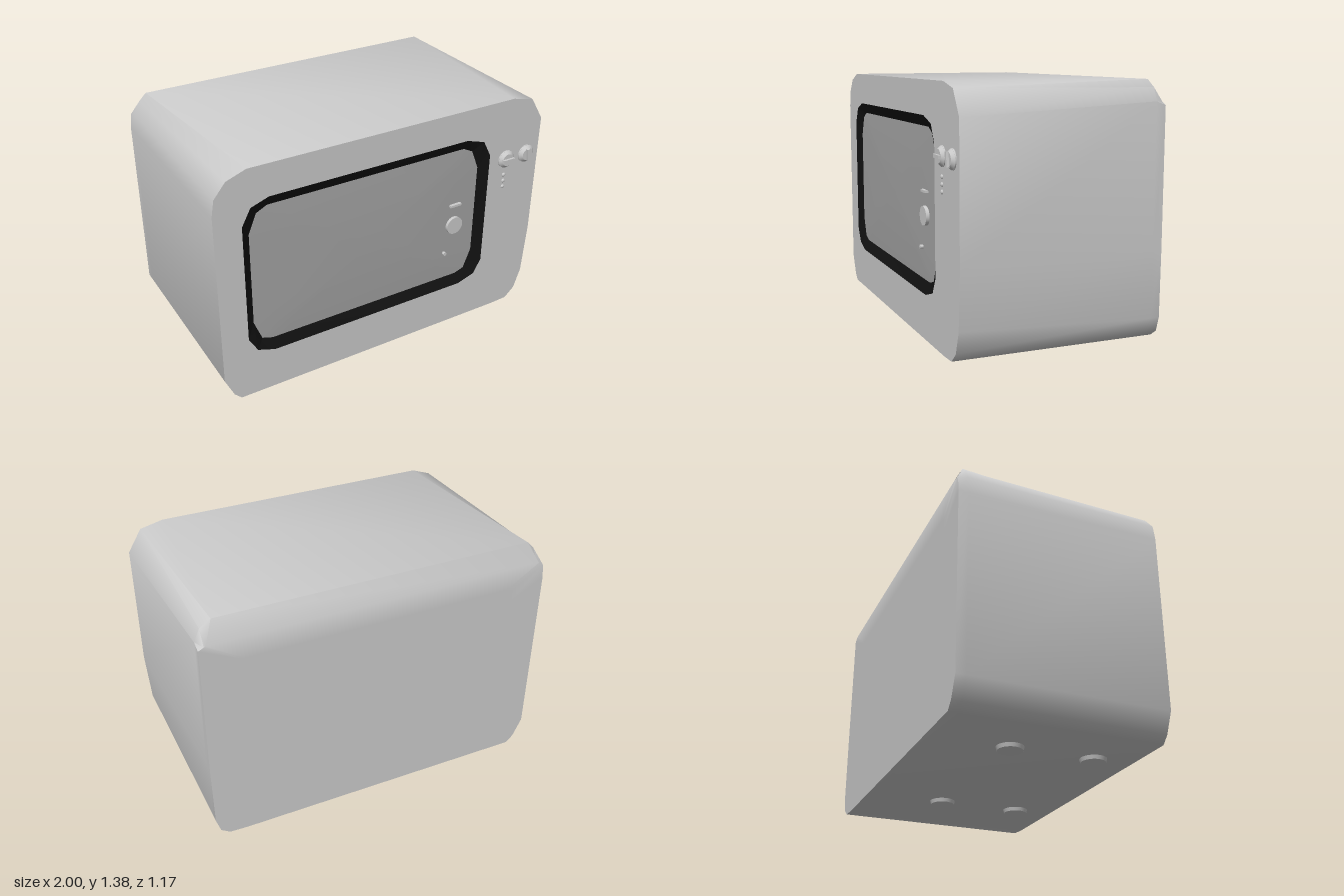
import * as THREE from 'three';
import { toCreasedNormals } from 'three/addons/utils/BufferGeometryUtils.js';

const FRONT = 0.55, BACK = -0.583, SCREEN = 0.522;

const grey = new THREE.MeshStandardMaterial({ color: 0xcccccc });
const black = new THREE.MeshStandardMaterial({ color: 0x111111 });
const dark = new THREE.MeshStandardMaterial({ color: 0xa4a4a4 });

// Outlines run anticlockwise as seen from the front
const bodyFront = [
  [-0.91, 0.02], [0.77, 0.02], [0.88, 0.025], [0.94, 0.08], [0.98, 0.2], [1, 0.5], [1, 1.22],
  [0.92, 1.35], [0.79, 1.38], [-0.81, 1.38], [-0.92, 1.34], [-0.985, 1.26], [-1, 1.17],
  [-1, 0.17], [-0.95, 0.06],
];
const bodyRear = [
  [-0.91, 0.02], [0.77, 0.02], [0.88, 0.025], [0.93, 0.06], [0.955, 0.14], [0.96, 0.5], [0.96, 1.27],
  [0.93, 1.34], [0.87, 1.38], [-0.91, 1.38], [-0.95, 1.34], [-0.99, 1.27], [-1, 1.17],
  [-1, 0.17], [-0.95, 0.06],
];
const rimOuter = [
  [-0.70, 0.265], [0.50, 0.265], [0.61, 0.30], [0.655, 0.385], [0.655, 1.07], [0.605, 1.165],
  [0.49, 1.20], [-0.70, 1.20], [-0.80, 1.165], [-0.85, 1.07], [-0.85, 0.385], [-0.80, 0.30],
];
const rimInner = [
  [-0.70, 0.325], [0.49, 0.325], [0.55, 0.345], [0.595, 0.46], [0.595, 1.0], [0.55, 1.11],
  [0.49, 1.14], [-0.70, 1.14], [-0.76, 1.11], [-0.805, 1.0], [-0.805, 0.46], [-0.76, 0.345],
];

const ring = (outline, z) => outline.map(([x, y]) => [x, y, z]);
const shrink = (outline, k, cx, cy) => outline.map(([x, y]) => [cx + (x - cx) * k, cy + (y - cy) * k]);

// Skin of quads through a list of equal-length rings
function loft(rings, crease) {
  const pos = [];
  const n = rings[0].length;
  const same = (p, q) => p.every((v, i) => Math.abs(v - q[i]) < 1e-6);
  const tri = (a, b, c) => {
    if (!same(a, b) && !same(b, c) && !same(a, c)) pos.push(...a, ...b, ...c);
  };
  for (let r = 0; r < rings.length - 1; r++) {
    for (let i = 0; i < n; i++) {
      const j = (i + 1) % n;
      const [a, b] = [rings[r], rings[r + 1]];
      tri(a[i], b[i], b[j]);
      tri(a[i], b[j], a[j]);
    }
  }
  const g = new THREE.BufferGeometry();
  g.setAttribute('position', new THREE.Float32BufferAttribute(pos, 3));
  return toCreasedNormals(g, crease);
}

function add(parent, name, geometry, material = grey, x = 0, y = 0, z = 0) {
  const mesh = new THREE.Mesh(geometry, material);
  mesh.name = name;
  mesh.position.set(x, y, z);
  parent.add(mesh);
  return mesh;
}

// Cylinder lying along z, its base at z = 0
const disc = (rFront, rBase, depth, sides = 24) =>
  new THREE.CylinderGeometry(rFront, rBase, depth, sides).rotateX(Math.PI / 2).translate(0, 0, depth / 2);

function makeKnob(turn) {
  const knob = new THREE.Group();
  knob.name = 'knob';
  add(knob, 'knobBase', disc(0.053, 0.053, 0.006));
  add(knob, 'knobCone', disc(0.036, 0.052, 0.016), grey, 0, 0, 0.006);
  const grip = add(knob, 'knobGrip', new THREE.BoxGeometry(0.075, 0.018, 0.02), grey, 0, 0, 0.025);
  grip.rotation.z = turn;
  return knob;
}

export function createModel() {
  const model = new THREE.Group();
  model.name = 'appliance';

  // Casing: narrows on one side to the rear, with a slope along the upper back edge
  const backEdge = bodyRear.map(([x, y], i) =>
    i === 8 ? [0.92, 1.27] : i === 9 ? [-0.96, 1.27] : [x, Math.min(y, i === 6 || i === 11 ? 1.25 : 1.265)]);
  add(model, 'casing', loft([
    ring(bodyFront, FRONT),
    ring(bodyRear, -0.53),
    ring(backEdge, BACK),
    ring(shrink(backEdge, 0.8, -0.02, 0.65), BACK),
    ring(shrink(backEdge, 0, -0.02, 0.65), BACK),
  ], 0.9));

  // Front panel with the window opening
  const toPoints = (o) => o.map(([x, y]) => new THREE.Vector2(x, y));
  const panel = new THREE.Shape(toPoints(bodyFront));
  panel.holes.push(new THREE.Path(toPoints(rimOuter)));
  add(model, 'frontPanel', new THREE.ShapeGeometry(panel), grey, 0, 0, FRONT);

  // Sloping black rim and gently bulging window
  add(model, 'windowRim', loft([ring(rimInner, SCREEN), ring(rimOuter, FRONT)], 0.3), black);
  const bulge = [0, 0.3, 0.6, 0.85, 1].map((k) =>
    ring(shrink(rimInner, k, -0.105, 0.7325), SCREEN + 0.012 * (1 - k * k)));
  add(model, 'window', loft(bulge, 0.9), dark);

  // Small fittings on the window
  add(model, 'windowButton', disc(0.052, 0.052, 0.022, 32), grey, 0.45, 0.675, SCREEN);
  add(model, 'windowBar', new THREE.BoxGeometry(0.072, 0.013, 0.024), grey, 0.45, 0.805, SCREEN + 0.01);
  add(model, 'windowStud', disc(0.011, 0.011, 0.022, 12), grey, 0.395, 0.5, SCREEN);

  // Control knobs and the column of buttons below them
  for (const [x, turn] of [[0.77, 0], [0.912, Math.PI / 2 + 0.15]]) {
    const knob = makeKnob(turn);
    knob.position.set(x, 1.02, FRONT);
    model.add(knob);
  }
  for (const y of [0.92, 0.882, 0.845]) {
    const button = add(model, 'button', new THREE.SphereGeometry(0.012, 12, 8), grey, 0.766, y, FRONT);
    button.scale.z = 0.7;
  }

  // Feet
  for (const x of [-0.595, 0.385]) {
    for (const z of [0.328, -0.138]) {
      add(model, 'foot', new THREE.CylinderGeometry(0.073, 0.066, 0.022, 24), grey, x, 0.011, z);
    }
  }
  return model;
}
